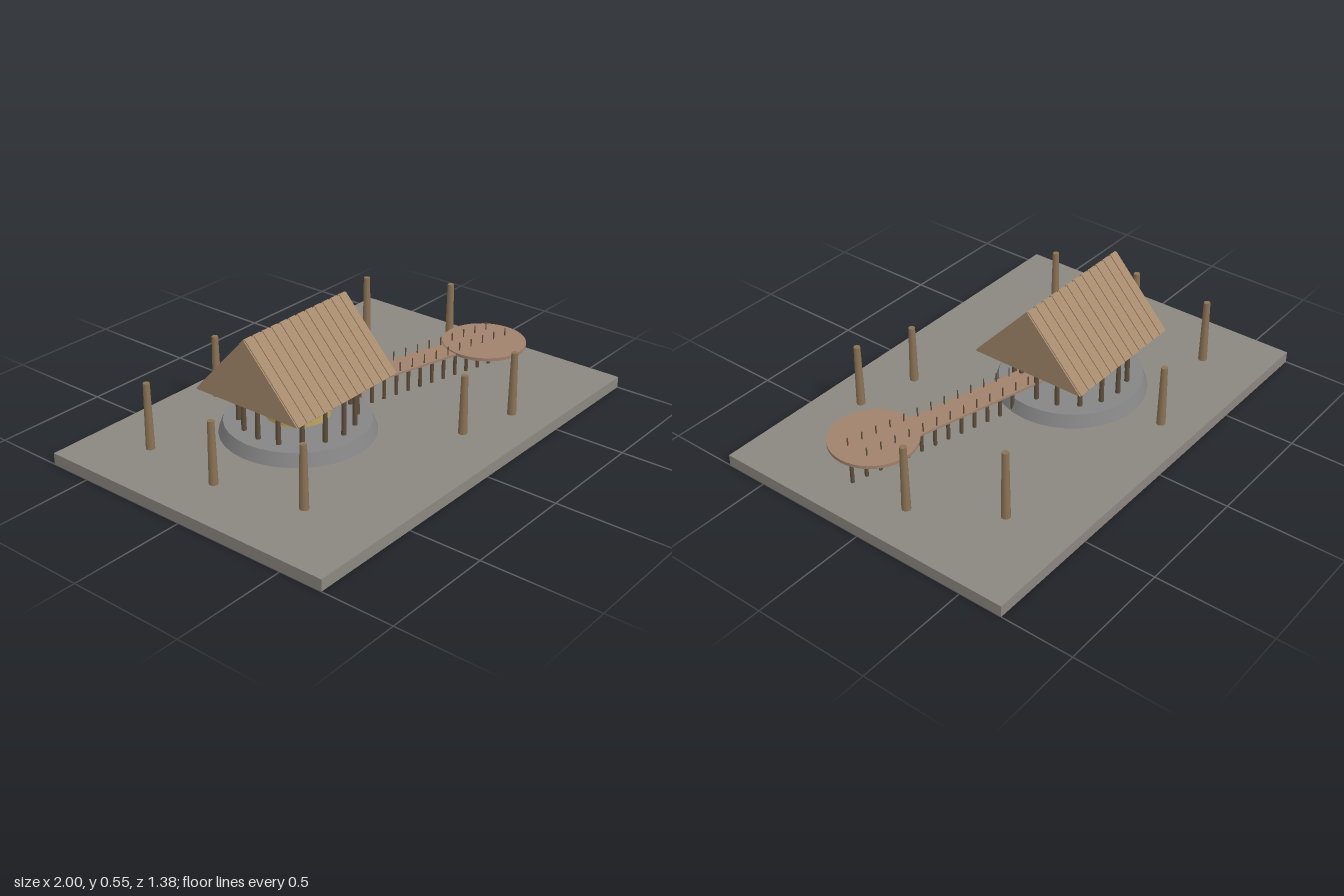
import * as THREE from 'three';

const mat = (name, color) => {
  const m = new THREE.MeshStandardMaterial({ color });
  m.name = name;
  return m;
};

export function createModel() {
  const stone = mat('ground stone', 0x8b8680);
  const grey = mat('plinth grey', 0x858585);
  const thatch = mat('light timber', 0xa0826d);
  const roofing = mat('roof timber', 0xa68a6d);
  const pole = mat('pole timber', 0x8b7355);
  const dark = mat('dark timber', 0x5f4f3c);
  const straw = mat('straw', 0xbfa565);

  const model = new THREE.Group();
  model.name = 'pavilionSite';
  const add = (name, geometry, material, x, y, z, parent = model) => {
    const mesh = new THREE.Mesh(geometry, material);
    mesh.name = name;
    mesh.position.set(x, y, z);
    parent.add(mesh);
    return mesh;
  };
  // Upright cylinder between two heights
  const post = (name, material, x, z, y0, y1, rTop, rBottom, sides, parent) =>
    add(name, new THREE.CylinderGeometry(rTop, rBottom, y1 - y0, sides), material, x, (y0 + y1) / 2, z, parent);

  // Ground slab
  add('groundSlab', new THREE.BoxGeometry(2, 0.05, 1.38), stone, 0, 0.025, 0);

  // Pavilion: plinth, drum and ring of posts
  const pavilion = new THREE.Group();
  pavilion.name = 'pavilion';
  pavilion.position.set(-0.235, 0, -0.08);
  model.add(pavilion);
  post('plinth', grey, 0, 0, 0.05, 0.105, 0.305, 0.325, 32, pavilion);
  post('strawDrum', straw, 0, 0, 0.125, 0.21, 0.135, 0.135, 24, pavilion);
  for (let i = 0; i < 16; i++) {
    const a = (i / 16) * Math.PI * 2;
    post('pavilionPost', dark, Math.sin(a) * 0.24, Math.cos(a) * 0.24, 0.1, 0.27, 0.009, 0.011, 8, pavilion);
  }

  // Gable roof, a solid triangular prism
  const half = 0.265, eave = 0.265, ridge = 0.552, length = 0.61;
  const gable = new THREE.Shape();
  gable.moveTo(-half, eave);
  gable.lineTo(half, eave);
  gable.lineTo(0, ridge);
  gable.closePath();
  const roofGeometry = new THREE.ExtrudeGeometry(gable, { depth: length, bevelEnabled: false });
  roofGeometry.translate(0, 0, -length / 2).rotateY(Math.PI / 2);
  add('roof', roofGeometry, roofing, 0, 0, 0, pavilion);

  // Raised boards down both slopes
  const slope = Math.atan2(ridge - eave, half);
  const slopeLength = Math.hypot(ridge - eave, half);
  for (const side of [-1, 1]) {
    for (let i = 0; i < 12; i++) {
      const x = (i - 5.5) * (length / 12);
      const board = add('roofBoard', new THREE.BoxGeometry(0.04, 0.008, slopeLength), roofing,
        x, (eave + ridge) / 2, side * half / 2, pavilion);
      board.rotation.x = side * slope;
    }
  }

  // Walkway leading to the round platform
  const pathZ = (x) => -0.025 + 0.26 * x;
  const x0 = -0.04, x1 = 0.74, mid = (x0 + x1) / 2;
  const angle = Math.atan(0.26);
  const deck = add('walkwayDeck', new THREE.BoxGeometry((x1 - x0) / Math.cos(angle), 0.01, 0.118), thatch,
    mid, 0.18, pathZ(mid));
  deck.rotation.y = -angle;
  post('roundPlatform', thatch, 0.69, 0.19, 0.176, 0.19, 0.182, 0.182, 40);

  // Supports below the walkway and pairs of stakes above it
  for (let i = 0; i < 13; i++) {
    const x = 0.04 + i * 0.0625;
    post('walkwaySupport', dark, x + 0.03, pathZ(x + 0.03), 0.05, 0.178, 0.008, 0.008, 8);
    for (const side of [-1, 1]) {
      post('walkwayStake', dark, x, pathZ(x) + side * 0.05, 0.18, 0.225, 0.003, 0.003, 6);
    }
  }

  // Free-standing tapered poles: x, z, top height
  const poles = [
    [-0.23, -0.54, 0.325], [-0.73, -0.425, 0.338], [-0.77, -0.04, 0.32], [-0.69, 0.345, 0.322],
    [0.155, 0.46, 0.31], [0.42, 0.52, 0.33], [0.81, -0.08, 0.345], [0.615, -0.405, 0.355],
  ];
  for (const [x, z, top] of poles) post('standingPole', pole, x, z, 0.05, top, 0.014, 0.019, 10);

  return model;
}
